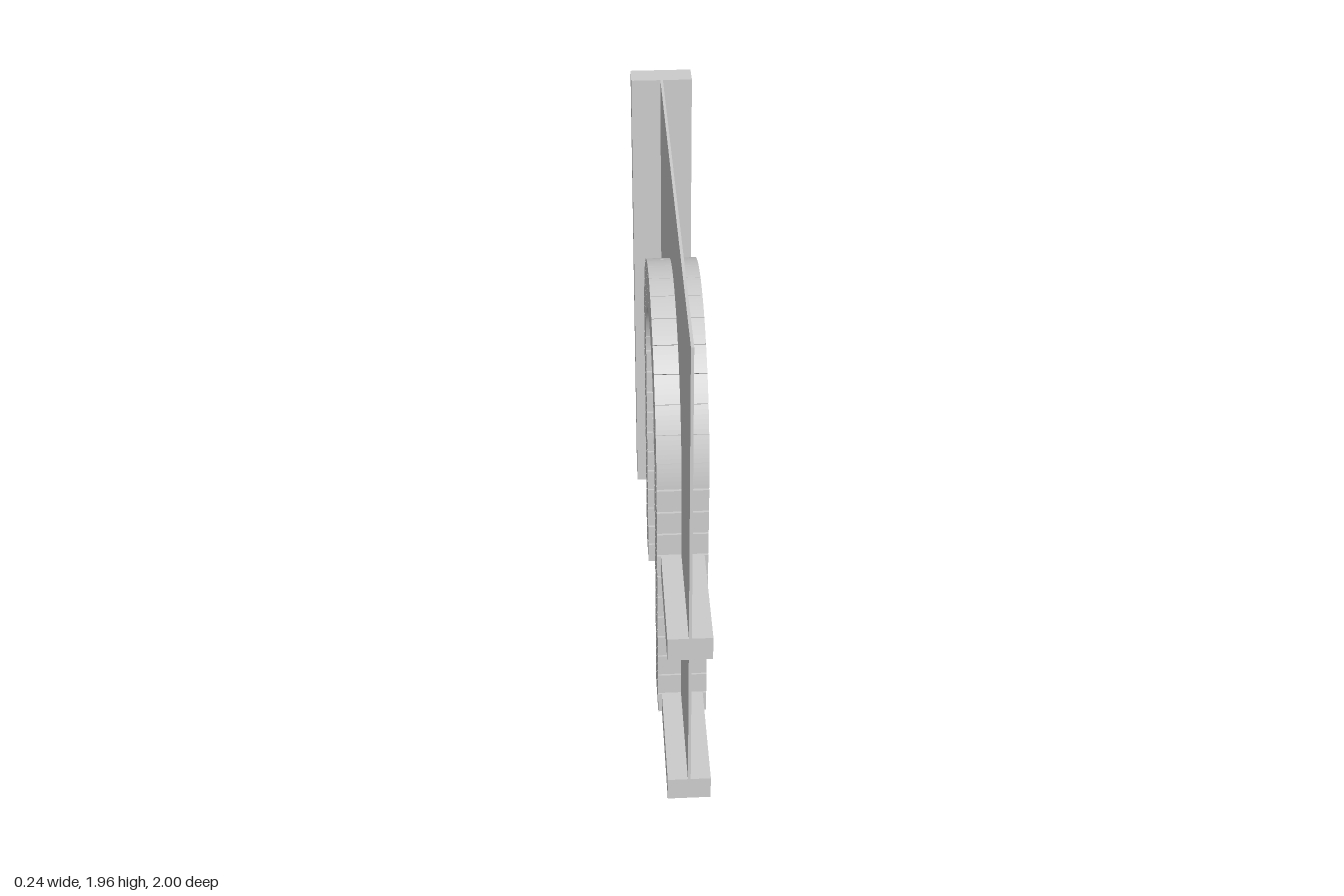
import * as THREE from 'three';

const material = new THREE.MeshStandardMaterial({ color: 0xcccccc, flatShading: true });
const ringMaterial = new THREE.MeshStandardMaterial({ color: 0xcccccc });

// Doorway layout: arch centre, spring line and radii in the z-y plane
const CZ = 0.025, SPRING = 1.08, R_OUT = 0.535, R_IN = 0.355;
const STONE_X = 0.184, DOOR_X = 0.08;

export function createModel() {
  const model = new THREE.Group();

  const add = (name, geometry, parent = model, mat = material) => {
    const mesh = new THREE.Mesh(geometry, mat);
    mesh.name = name;
    parent.add(mesh);
    return mesh;
  };

  const group = (name) => {
    const g = new THREE.Group();
    g.name = name;
    model.add(g);
    return g;
  };

  // Box given by its thickness across x and its y and z ranges
  const block = (name, width, y0, y1, z0, z1, parent) => {
    const mesh = add(name, new THREE.BoxGeometry(width, y1 - y0, z1 - z0), parent);
    mesh.position.set(0, (y0 + y1) / 2, (z0 + z1) / 2);
    return mesh;
  };

  // Outline drawn as (z, y), extruded across x and centred on the given x
  const slab = (shape, thickness, x = 0, curveSegments = 12) => {
    const g = new THREE.ExtrudeGeometry(shape, { depth: thickness, bevelEnabled: false, curveSegments });
    g.translate(0, 0, -thickness / 2);
    g.rotateY(-Math.PI / 2);
    g.translate(x, 0, 0);
    return g;
  };

  // Thin wall panel, end post and rails
  block('wall', 0.01, 0, 1.955, -0.905, 1);
  block('post', 0.236, 0, 1.955, -1, -0.905);
  const rails = group('rails');
  for (const [y0, y1] of [[0, 0.098], [0.688, 0.785]]) {
    block('railFront', 0.156, y0, y1, 0.54, 1, rails);
    block('railBack', 0.156, y0, y1, -0.905, -0.49, rails);
  }

  // Stacked jamb stones with narrow joints
  const surround = group('stoneSurround');
  const courses = 11, pitch = SPRING / courses, joint = 0.007;
  for (let i = 0; i < courses; i++) {
    for (const side of [-1, 1]) {
      const a = CZ + side * R_IN, b = CZ + side * R_OUT;
      block('jambStone', STONE_X, i * pitch, (i + 1) * pitch - joint,
        Math.min(a, b), Math.max(a, b), surround);
    }
  }

  // Arch stones, 16 wedges around the half circle
  const wedges = 16, step = Math.PI / wedges, gap = 0.002;
  for (let i = 0; i < wedges; i++) {
    const a0 = i * step + gap, a1 = (i + 1) * step - gap;
    const s = new THREE.Shape();
    s.absarc(CZ, SPRING, R_OUT, a0, a1, false);
    s.absarc(CZ, SPRING, R_IN, a1, a0, true);
    s.closePath();
    add('archStone', slab(s, STONE_X, 0, 3), surround);
  }

  // Round-headed door
  const doorShape = new THREE.Shape();
  doorShape.moveTo(CZ - R_IN, 0);
  doorShape.lineTo(CZ + R_IN, 0);
  doorShape.lineTo(CZ + R_IN, SPRING);
  doorShape.absarc(CZ, SPRING, R_IN, 0, Math.PI, false);
  doorShape.closePath();
  add('door', slab(doorShape, DOOR_X, 0, 48));

  // Strap hinge outline: bar ending in a spear tip with two barbs
  const half = [[0.38, 0.012], [0.15, 0.008], [0.16, 0.022], [0.10, 0.045], [0.125, 0.014], [0.09, 0.012]];
  const outline = [...half, [0.035, 0], ...half.map(([z, y]) => [z, -y]).reverse()];
  const hingeShape = new THREE.Shape(outline.map(([z, y]) => new THREE.Vector2(z, y)));

  // Capsule-shaped handle plate
  const plateZ = -0.205, plateR = 0.06;
  const plateShape = new THREE.Shape();
  plateShape.absarc(plateZ, 0.82, plateR, 0, Math.PI, false);
  plateShape.absarc(plateZ, 0.655, plateR, Math.PI, Math.PI * 2, false);
  plateShape.closePath();

  // Fittings repeated on both faces of the door
  for (const side of [-1, 1]) {
    const fittings = group(side > 0 ? 'leftFittings' : 'rightFittings');
    const face = side * DOOR_X / 2;
    for (const y of [0.215, 0.615, 1.01]) {
      add('strapHinge', slab(hingeShape, 0.012, face + side * 0.003), fittings).position.y = y;
    }
    add('handlePlate', slab(plateShape, 0.014, face + side * 0.006, 16), fittings);

    const ring = add('handleRing', new THREE.TorusGeometry(0.043, 0.007, 10, 36), fittings, ringMaterial);
    ring.rotation.y = Math.PI / 2;
    ring.position.set(face + side * 0.024, 0.765, plateZ);

    const staple = add('ringStaple', new THREE.BoxGeometry(0.03, 0.045, 0.01), fittings);
    staple.position.set(face + side * 0.022, 0.82, plateZ);
  }

  return model;
}
